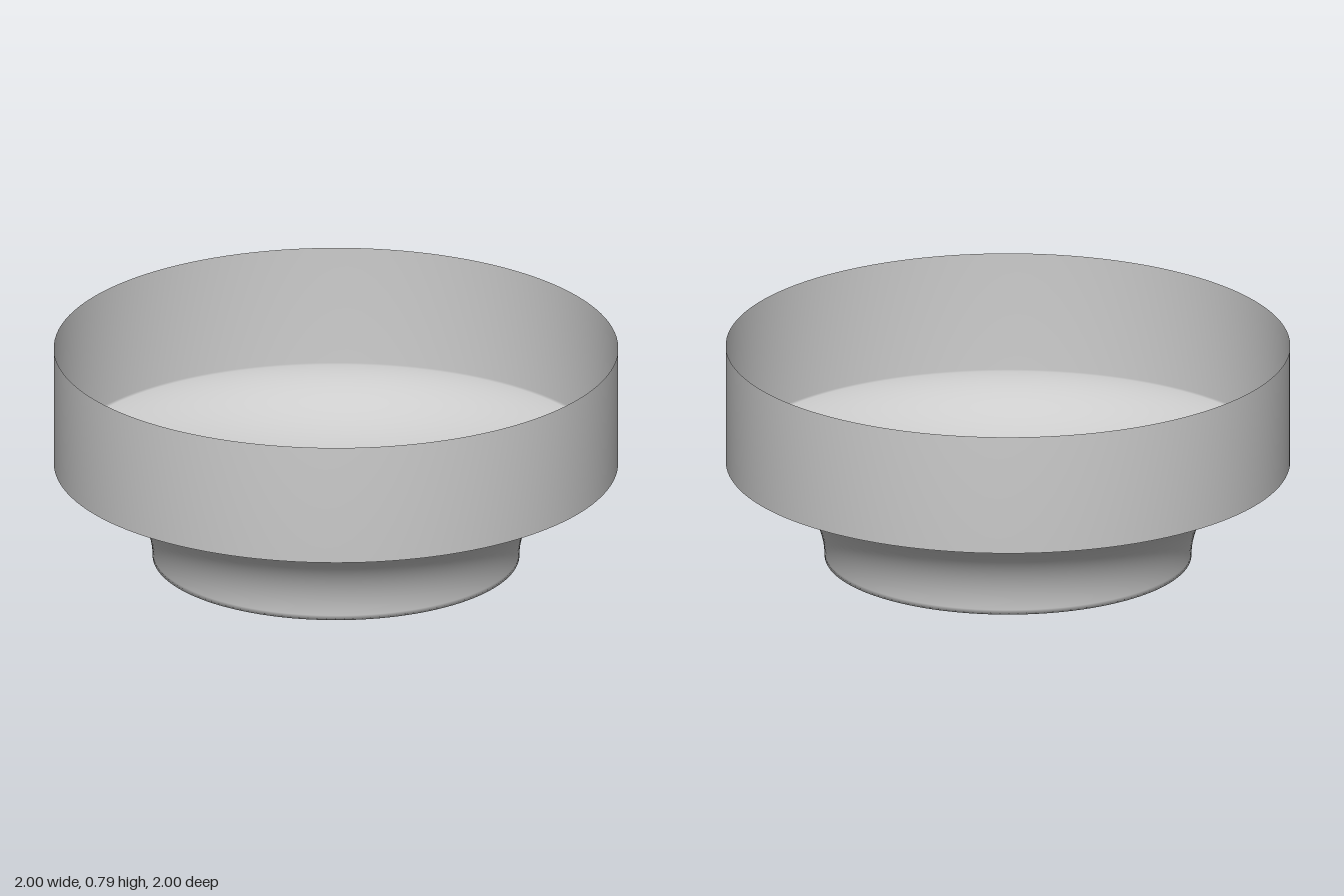
import * as THREE from 'three';

export function createModel() {
  const group = new THREE.Group();
  group.name = 'footedBowl';
  const grey = new THREE.MeshStandardMaterial({ color: 0xcccccc, side: THREE.DoubleSide });
  grey.name = 'light grey';

  const wallRadius = 1, height = 0.785, cove = 0.35, steps = 32;

  // Thin shell profile: flat floor, quarter-round cove, straight wall
  const profile = [new THREE.Vector2(0, 0)];
  for (let i = 0; i <= steps; i++) {
    const a = (i / steps) * Math.PI / 2;
    profile.push(new THREE.Vector2(wallRadius - cove * Math.cos(a), cove * Math.sin(a)));
  }
  profile.push(new THREE.Vector2(wallRadius, height));

  const bowl = new THREE.Mesh(new THREE.LatheGeometry(profile, 128), grey);
  bowl.name = 'bowlShell';
  group.add(bowl);
  return group;
}
